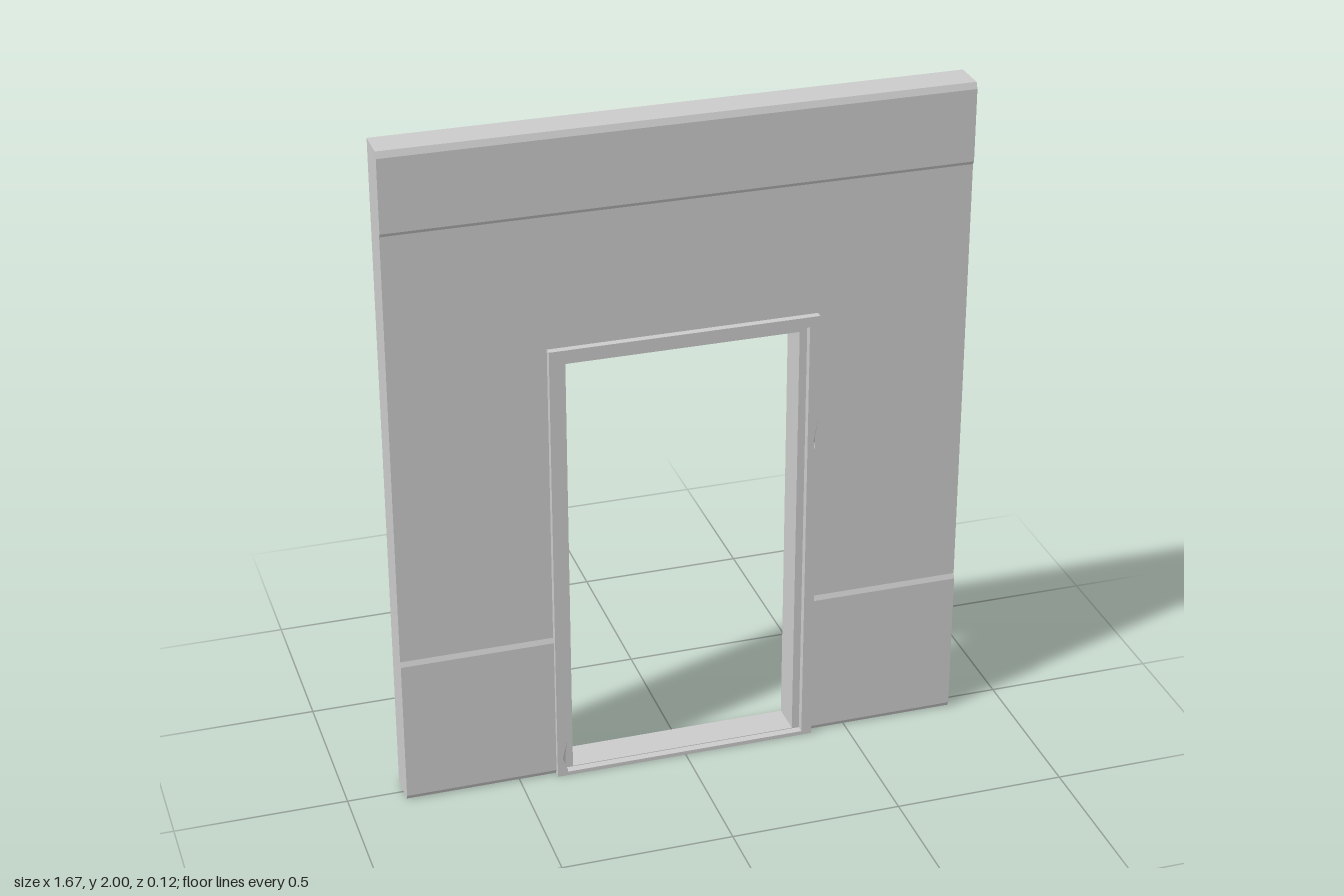
import * as THREE from 'three';

const W = 0.835, BACK = -0.061;        // half width and rear plane of the wall
const CASE_W = 0.39, CASE_TOP = 1.37;  // outer size of the door casing

// Front profile of the wall from bottom to top: [y, z]
const PROFILE = [
  [0, 0.038], [0.014, 0.046], [0.445, 0.046], [0.46, 0.04], [CASE_TOP, 0.04],
  [1.76, 0.04], [1.77, 0.046], [1.982, 0.046], [2, 0.038],
];

const material = new THREE.MeshStandardMaterial({
  color: 0xcccccc, flatShading: true, side: THREE.DoubleSide,
});

// Mesh from a list of four-cornered faces, corners counter-clockwise
function quadMesh(name, quads) {
  const pos = [];
  for (const [a, b, c, d] of quads) pos.push(...a, ...b, ...c, ...a, ...c, ...d);
  const geo = new THREE.BufferGeometry();
  geo.setAttribute('position', new THREE.Float32BufferAttribute(pos, 3));
  geo.computeVertexNormals();
  const mesh = new THREE.Mesh(geo, material);
  mesh.name = name;
  return mesh;
}

// Front sheet: horizontal strips that leave the doorway free
function frontSheet() {
  const quads = [];
  for (let i = 0; i < PROFILE.length - 1; i++) {
    const [y0, z0] = PROFILE[i], [y1, z1] = PROFILE[i + 1];
    const spans = y1 <= CASE_TOP ? [[-W, -CASE_W], [CASE_W, W]] : [[-W, W]];
    for (const [x0, x1] of spans) {
      quads.push([[x0, y0, z0], [x1, y0, z0], [x1, y1, z1], [x0, y1, z1]]);
    }
  }
  return quadMesh('wallFront', quads);
}

// Ends, top and bottom of the wall; the rear stays open
function wallEdges() {
  const quads = [];
  for (let i = 0; i < PROFILE.length - 1; i++) {
    const [y0, z0] = PROFILE[i], [y1, z1] = PROFILE[i + 1];
    quads.push([[W, y0, z0], [W, y0, BACK], [W, y1, BACK], [W, y1, z1]]);
    quads.push([[-W, y0, BACK], [-W, y0, z0], [-W, y1, z1], [-W, y1, BACK]]);
  }
  const z = PROFILE[0][1];
  quads.push([[-W, 2, z], [W, 2, z], [W, 2, BACK], [-W, 2, BACK]]);
  quads.push([[-W, 0, BACK], [W, 0, BACK], [W, 0, z], [-W, 0, z]]);
  return quadMesh('wallEdges', quads);
}

// One outline of the doorway; chips push a point of the edge into the casing
function doorLoop(w, bottom, top, z, leftChip = 0, rightChip = 0) {
  return [
    [w, bottom], [w, 0.91], [w - leftChip, 0.98], [w, 1.05], [w, top],
    [-w, top], [-w, 0.12], [-w - rightChip, 0.06], [-w, 0.02], [-w, bottom],
  ].map(([x, y]) => [x, y, z]);
}

// Skin between neighbouring outlines
function loft(name, loops) {
  const quads = [];
  for (let k = 0; k < loops.length - 1; k++) {
    const a = loops[k], b = loops[k + 1];
    a.forEach((p, i) => {
      const j = (i + 1) % a.length;
      quads.push([p, a[j], b[j], b[i]]);
    });
  }
  return quadMesh(name, quads);
}

export function createModel() {
  const group = new THREE.Group();
  group.name = 'doorwayWall';
  group.add(frontSheet(), wallEdges());

  // Raised casing, its inner step, and the reveal running to the rear
  const step = doorLoop(0.36, 0.012, 1.34, 0.038);
  const reveal = doorLoop(0.338, 0.014, 1.318, 0.038);
  group.add(loft('doorCasing', [
    doorLoop(CASE_W, 0, CASE_TOP, 0.038),
    doorLoop(CASE_W, 0, CASE_TOP, 0.061, 0.012, 0),
    doorLoop(0.36, 0.012, 1.34, 0.061, 0, 0.014),
    step,
  ]));
  group.add(loft('doorStop', [step, reveal]));
  group.add(loft('doorReveal', [reveal, doorLoop(0.338, 0.014, 1.318, BACK)]));
  return group;
}
